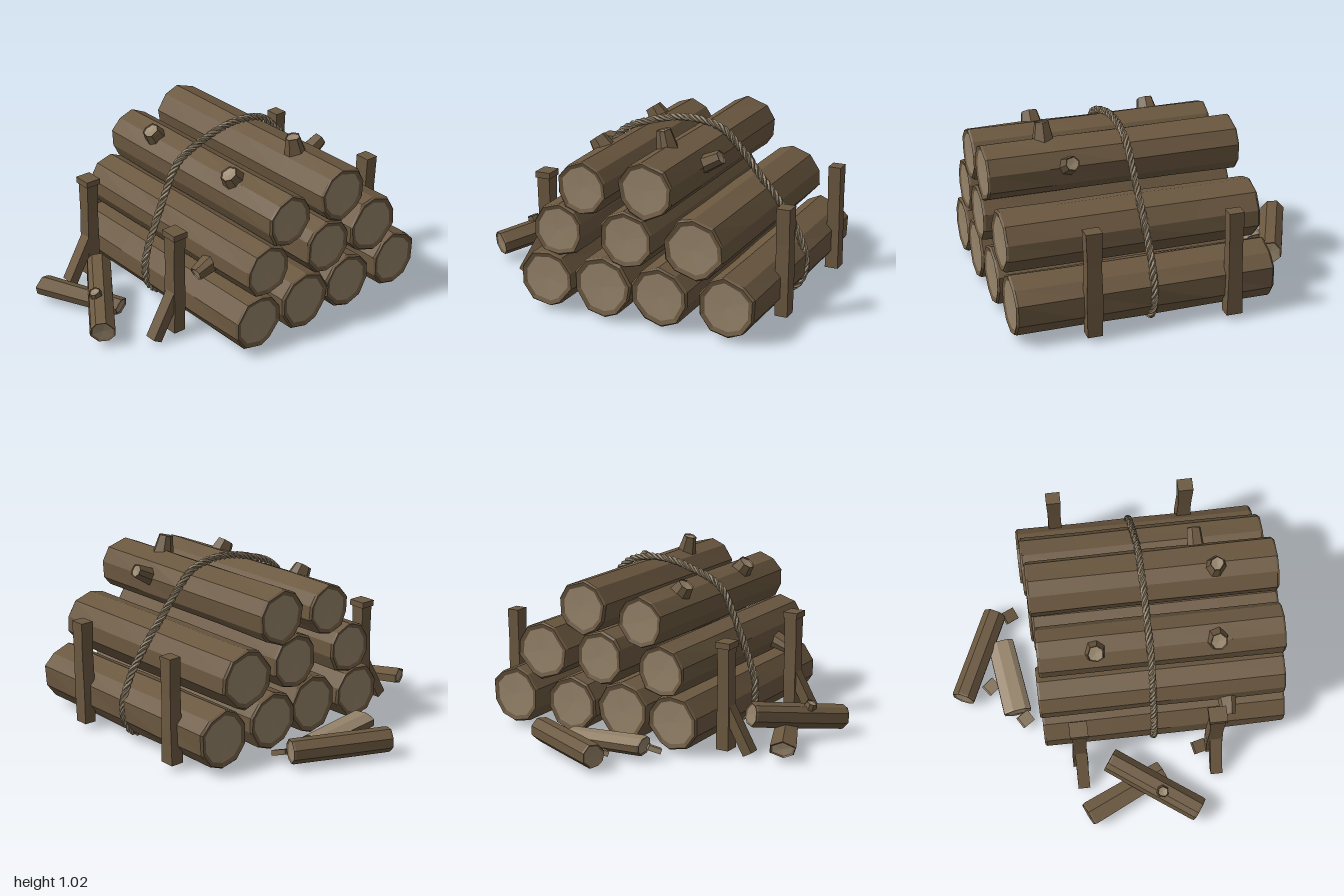
import * as THREE from 'three';

const flat = (name, color) => {
  const m = new THREE.MeshStandardMaterial({ color, flatShading: true });
  m.name = name;
  return m;
};
const V = (x, y, z) => new THREE.Vector3(x, y, z);

// Repeatable noise in -1..1
const noise = (a, b, c) => {
  const s = Math.sin(a * 12.99 + b * 78.23 + c * 37.72) * 43758.55;
  return (s - Math.floor(s)) * 2 - 1;
};

export function createModel() {
  const bark = flat('bark', 0x6b5840);
  const wood = flat('cut wood', 0x95836a);
  const ropeMat = flat('rope', 0x8a7b63);
  const model = new THREE.Group();

  const add = (name, geo, mat, parent = model) => {
    const mesh = new THREE.Mesh(geo, mat);
    mesh.name = name;
    parent.add(mesh);
    return mesh;
  };

  // Rough faceted log from a to b, with bark rims and recessed cut faces
  function log(name, a, b, r0, r1, { sides = 10, seed = 1, rough = 0.04, cut = 0.8, squash = 1, split = false, middle = 4 } = {}) {
    const L = a.distanceTo(b), dip = Math.min(0.012, L * 0.1);
    const rings = [[dip, 0, r0], [dip * 0.6, cut, r0], [0, 0.95, r0]];
    for (let k = 0; k <= middle; k++) {
      const t = k / middle;
      rings.push([dip + (L - 2 * dip) * t, 1, r0 + (r1 - r0) * t]);
    }
    rings.push([L, 0.95, r1], [L - dip * 0.6, cut, r1], [L - dip, 0, r1]);
    const last = rings.length - 1;
    const point = (k, i) => {
      const [z, s, r] = rings[k], j = i % sides;
      const an = (j + 0.5 + 0.2 * noise(j, seed, 3)) / sides * Math.PI * 2;
      const inner = k > 2 && k < last - 2 ? k : 0;
      const rad = r * s * (1 + rough * (noise(j, seed, 1) + 0.5 * noise(j, seed, inner)));
      const slide = inner > 3 && inner < last - 3 ? 0.15 * L / middle * noise(j, k, seed) : 0;
      return [Math.cos(an) * rad, Math.sin(an) * rad * squash, z + slide];
    };
    const tris = [[], []];
    for (let k = 0; k < last; k++) {
      for (let i = 0; i < sides; i++) {
        const p = point(k, i), q = point(k, i + 1), u = point(k + 1, i + 1), v = point(k + 1, i);
        const end = k === 0 || k === last - 1;
        const out = tris[end || (split && i < sides / 2) ? 1 : 0];
        if (k > 0) out.push(...p, ...q, ...u);
        if (k === 0) out.push(...p, ...u, ...v);
        else if (k < last - 1) out.push(...p, ...u, ...v);
      }
    }
    const geo = new THREE.BufferGeometry();
    geo.setAttribute('position', new THREE.Float32BufferAttribute(tris[0].concat(tris[1]), 3));
    geo.addGroup(0, tris[0].length / 3, 0);
    geo.addGroup(tris[0].length / 3, tris[1].length / 3, 1);
    geo.computeVertexNormals();
    const mesh = add(name, geo, [bark, wood]);
    // Aim +z along the log while keeping its up side up
    mesh.position.copy(a);
    mesh.up.set(0, 1, 0);
    const d = b.clone().sub(a).normalize();
    if (Math.abs(d.y) > 0.95) mesh.up.set(0, 0, 1);
    mesh.lookAt(b);
    return mesh;
  }

  // Stacked logs: x, y, radius, back z, front z
  [
    [-0.29, 0.185, 0.162, -0.46, 0.98],
    [0.05, 0.19, 0.172, -0.45, 0.98],
    [0.385, 0.19, 0.165, -0.48, 0.97],
    [0.77, 0.19, 0.168, -0.51, 0.96],
    [-0.22, 0.475, 0.15, -0.47, 0.97],
    [0.2, 0.49, 0.158, -0.46, 0.99],
    [0.58, 0.48, 0.172, -0.49, 0.96],
    [-0.07, 0.735, 0.15, -0.45, 0.97],
    [0.31, 0.775, 0.162, -0.47, 0.98],
  ].forEach(([x, y, r, z0, z1], i) =>
    log('stackedLog' + (i + 1), V(x, y, z0), V(x, y, z1), r, r, { seed: i + 2 }));

  // Sawn-off branch stubs
  [
    [-0.1, 0.79, -0.12, -0.175, 0.9, -0.12, 0.075, 0.052],
    [-0.1, 0.79, 0.58, -0.18, 0.9, 0.58, 0.075, 0.052],
    [0.28, 0.88, 0.62, 0.25, 1.01, 0.62, 0.068, 0.044],
    [0.4, 0.79, 0.53, 0.55, 0.87, 0.53, 0.055, 0.042],
    [-0.32, 0.44, 0.63, -0.45, 0.39, 0.63, 0.06, 0.044],
    [-0.79, 0.12, 0.2, -0.83, 0.22, 0.2, 0.05, 0.034],
  ].forEach(([ax, ay, az, bx, by, bz, r0, r1], i) =>
    log('branchStub' + (i + 1), V(ax, ay, az), V(bx, by, bz), r0, r1, { sides: 7, seed: i + 20, middle: 1, cut: 0.85 }));

  // Upright stakes; the ones on the right side carry braces and a wider top
  for (const z of [-0.26, 0.54]) {
    const stake = new THREE.BoxGeometry(0.075, 0.615, 0.085, 1, 3, 1);
    const p = stake.attributes.position;
    for (let i = 0; i < p.count; i++) {
      const y = p.getY(i);
      p.setX(i, p.getX(i) * (1 + 0.06 * noise(Math.round(y * 10), 2, z)));
      p.setZ(i, p.getZ(i) * (1 + 0.1 * noise(Math.round(y * 10), 5, z)));
    }
    add('leftStake', stake, bark).position.set(0.933, 0.337, z);
    add('rightStake', stake, bark).position.set(-0.525, 0.33, z);
    add('stakeTop', new THREE.BoxGeometry(0.092, 0.035, 0.105), bark).position.set(-0.525, 0.632, z);
    const brace = add('stakeBrace', new THREE.BoxGeometry(0.06, 0.3, 0.07), bark);
    brace.position.set(-0.605, 0.148, z + 0.005);
    brace.rotation.z = -0.52;
  }

  // Loose logs and split pieces on the ground
  log('looseLogSide', V(-0.93, 0.095, 0.41), V(-0.59, 0.185, -0.09), 0.075, 0.075, { sides: 8, seed: 31, middle: 2 });
  log('splitLogSide', V(-0.88, 0.075, -0.25), V(-0.66, 0.065, 0.22), 0.08, 0.07, { sides: 6, seed: 32, middle: 1, squash: 0.6 });
  log('looseLogBack', V(-0.08, 0.09, -0.93), V(0.45, 0.09, -0.69), 0.073, 0.073, { sides: 8, seed: 33, middle: 2 });
  log('splitLogBack', V(-0.2, 0.075, -0.605), V(0.26, 0.075, -0.67), 0.09, 0.085, { sides: 8, seed: 34, middle: 1, squash: 0.6, split: true });

  // Wood chips
  [
    [-0.01, -0.755, 0.75, wood], [-0.24, -0.565, 0.65, wood],
    [0.44, -0.6, 0.5, bark], [-0.53, 0.46, 0.3, bark],
  ].forEach(([x, z, turn, mat], i) => {
    const chip = add('woodChip' + (i + 1), new THREE.BoxGeometry(0.075, 0.03, 0.08), mat);
    chip.position.set(x, 0.055, z);
    chip.rotation.set(0.25, turn, 0.2);
  });

  // Rope: three strands twisted around a loop about the stack
  const loop = new THREE.CatmullRomCurve3([
    [-0.45, 0.14], [-0.46, 0.28], [-0.41, 0.44], [-0.32, 0.65], [-0.22, 0.83], [-0.02, 0.92],
    [0.2, 0.96], [0.4, 0.925], [0.52, 0.82], [0.63, 0.69], [0.76, 0.54], [0.88, 0.36],
    [0.925, 0.2], [0.87, 0.06], [0.75, 0.027], [0.25, 0.023], [-0.25, 0.03], [-0.38, 0.06],
  ].map(([x, y]) => V(x, y, 0.19)), true);
  const turns = 34, steps = 340;
  const rope = new THREE.Group();
  rope.name = 'rope';
  model.add(rope);
  for (let s = 0; s < 3; s++) {
    const pts = [];
    for (let i = 0; i < steps; i++) {
      const t = i / steps, an = t * turns * Math.PI * 2 + s * Math.PI * 2 / 3;
      const tan = loop.getTangentAt(t), c = loop.getPointAt(t);
      pts.push(c.add(V(-tan.y, tan.x, 0).multiplyScalar(0.012 * Math.cos(an))).add(V(0, 0, 0.012 * Math.sin(an))));
    }
    add('ropeStrand' + (s + 1), new THREE.TubeGeometry(new THREE.CatmullRomCurve3(pts, true), 400, 0.011, 5, true), ropeMat, rope);
  }
  return model;
}
